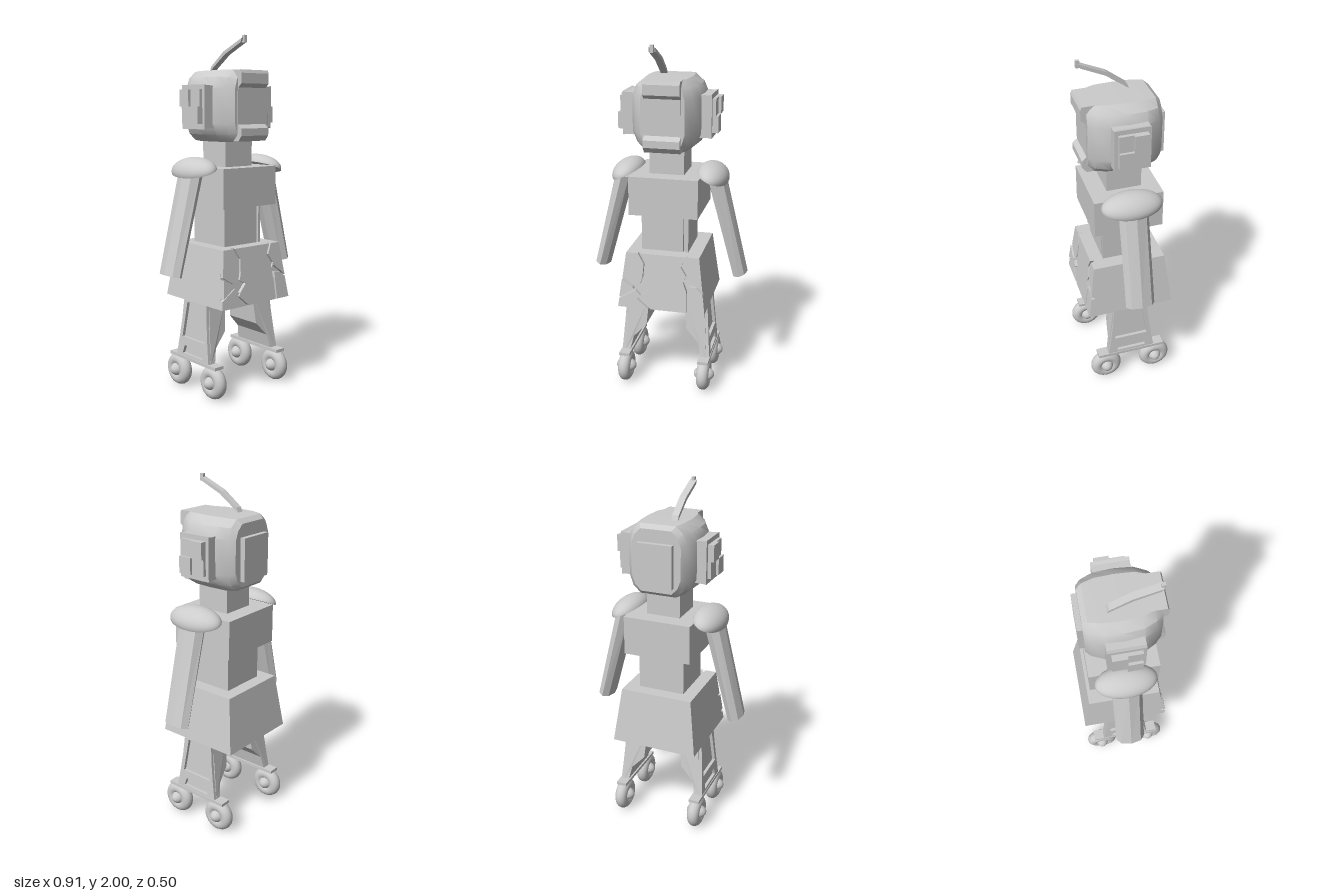
import * as THREE from 'three';
import { toCreasedNormals } from 'three/addons/utils/BufferGeometryUtils.js';

const grey = new THREE.MeshStandardMaterial({ color: 0xcccccc });

function add(parent, name, geometry, x = 0, y = 0, z = 0) {
  const mesh = new THREE.Mesh(geometry, grey);
  mesh.name = name;
  mesh.position.set(x, y, z);
  parent.add(mesh);
  return mesh;
}

// Box given by its limits on each axis
function block(parent, name, [x0, x1], [y0, y1], [z0, z1]) {
  return add(parent, name, new THREE.BoxGeometry(x1 - x0, y1 - y0, z1 - z0),
    (x0 + x1) / 2, (y0 + y1) / 2, (z0 + z1) / 2);
}

const polygon = (points) => new THREE.Shape(points.map(([x, y]) => new THREE.Vector2(x, y)));
const extrude = (shape, depth) => new THREE.ExtrudeGeometry(shape, { depth, bevelEnabled: false });

// Extrude a (z, y) profile along x from x0 to x1
const extrudeX = (shape, x0, x1) => extrude(shape, x1 - x0).rotateY(-Math.PI / 2).translate(x1, 0, 0);

// Move every vertex by a rule
function warp(geometry, rule) {
  const p = geometry.attributes.position;
  const v = new THREE.Vector3();
  for (let i = 0; i < p.count; i++) {
    rule(v.fromBufferAttribute(p, i));
    p.setXYZ(i, v.x, v.y, v.z);
  }
  const flat = geometry.index ? geometry.toNonIndexed() : geometry;
  flat.computeVertexNormals();
  return flat;
}

// Head shell: rounded cross-sections lofted from back to front
function headShell() {
  const sections = [[-0.192, 0.14, 0.17], [-0.165, 0.165, 0.192], [-0.1, 0.193, 0.195], [0, 0.2, 0.195],
    [0.1, 0.19, 0.195], [0.165, 0.155, 0.193], [0.2, 0.12, 0.18]];
  const quarter = [[1, 0.5], [0.87, 0.8], [0.62, 1]];
  const loop = [...quarter, ...quarter.map(([x, y]) => [-x, y]).reverse(),
    ...quarter.map(([x, y]) => [-x, -y]), ...quarter.map(([x, y]) => [x, -y]).reverse()];
  const n = loop.length;
  const pos = [];
  const index = [];
  for (const [z, w, h] of sections) for (const [x, y] of loop) pos.push(x * w, y * h, z);
  for (let s = 0; s < sections.length - 1; s++) {
    for (let i = 0; i < n; i++) {
      const a = s * n + i, b = s * n + (i + 1) % n;
      index.push(a, b, b + n, a, b + n, a + n);
    }
  }
  const last = (sections.length - 1) * n;
  for (let i = 1; i < n - 1; i++) {
    index.push(0, i + 1, i);
    index.push(last, last + i, last + i + 1);
  }
  const g = new THREE.BufferGeometry();
  g.setAttribute('position', new THREE.Float32BufferAttribute(pos, 3));
  g.setIndex(index);
  return toCreasedNormals(g, 0.5);
}

function buildHead() {
  const head = new THREE.Group();
  head.name = 'head';
  add(head, 'headShell', headShell(), 0, 1.625, 0);
  block(head, 'facePanel', [-0.1, 0.1], [1.5, 1.75], [0.15, 0.204]);
  block(head, 'backPanel', [-0.1, 0.1], [1.49, 1.725], [-0.22, -0.17]);
  add(head, 'brow', extrudeX(polygon([[0.1, 1.82], [0.222, 1.818], [0.23, 1.8], [0.23, 1.745], [0.2, 1.72], [0.1, 1.72]]), -0.1, 0.1));
  add(head, 'chin', extrudeX(polygon([[0.1, 1.435], [0.205, 1.435], [0.23, 1.465], [0.23, 1.505], [0.2, 1.53], [0.1, 1.53]]), -0.1, 0.1));

  // Ear blocks with four panes at two heights
  for (const s of [-1, 1]) {
    const side = s > 0 ? 'left' : 'right';
    const span = (a, b) => (s > 0 ? [a, b] : [-b, -a]);
    block(head, side + 'EarBase', span(0.16, 0.228), [1.505, 1.735], [-0.098, 0.098]);
    const flare = new THREE.BoxGeometry(0.018, 0.23, 0.196);
    add(head, side + 'EarRim', warp(flare, (v) => { if (v.x * s > 0) { v.y *= 1.04; } }), s * 0.237, 1.62, 0);
    for (const iy of [0, 1]) {
      for (const iz of [0, 1]) {
        const top = iy !== iz ? 0.28 : 0.265;
        const y0 = 1.53 + iy * 0.092, z0 = -0.078 + iz * 0.078;
        block(head, side + 'EarPane', span(0.22, top), [y0, y0 + 0.092], [z0, z0 + 0.078]);
      }
    }
  }

  // Bent antenna with a small upright tip
  add(head, 'antenna', extrudeX(polygon([[-0.07, 1.815], [0.06, 1.905], [0.19, 1.962], [0.2, 1.985], [0.05, 1.922], [-0.055, 1.845]]), -0.072, -0.034));
  block(head, 'antennaTip', [-0.062, -0.044], [1.96, 2], [0.19, 0.21]);
  return head;
}

function buildTorso() {
  const torso = new THREE.Group();
  torso.name = 'torso';
  block(torso, 'neck', [-0.098, 0.098], [1.27, 1.46], [-0.098, 0.098]);
  block(torso, 'chest', [-0.195, 0.195], [1.07, 1.29], [-0.195, 0.195]);
  block(torso, 'waist', [-0.137, 0.132], [0.84, 1.08], [-0.135, 0.115]);
  block(torso, 'waistFront', [-0.137, 0.103], [0.84, 1.08], [0.11, 0.135]);
  block(torso, 'waistFrontStrip', [0.117, 0.132], [0.84, 1.08], [0.11, 0.135]);
  return torso;
}

function buildSkirt() {
  const skirt = new THREE.Group();
  skirt.name = 'skirt';
  const drop = (y) => (0.85 - y) / 0.32;
  const half = (y) => 0.21 + 0.042 * drop(y);
  add(skirt, 'skirtCore', warp(new THREE.BoxGeometry(2, 0.32, 2).translate(0, 0.69, 0), (v) => {
    const h = half(v.y);
    v.x *= h;
    v.z = v.z > 0 ? h - 0.02 : -h;
  }));

  // Front plates, split by narrow cracks
  const shard = (name, points, lift = 0) => add(skirt, name,
    warp(extrude(polygon(points), 0.02 + lift), (v) => { v.z += half(v.y) - 0.02; }));
  const shift = (points, dx) => points.map(([x, y]) => [x + dx, y]);
  const crackB = [[0.14, 0.85], [0.112, 0.79], [0.145, 0.74], [0.13, 0.7], [0.15, 0.65], [0.155, 0.53]];
  shard('skirtPlateMiddle', [[-0.128, 0.85], [-0.094, 0.79], [-0.1, 0.71], [-0.113, 0.675], [-0.07, 0.652],
    [-0.115, 0.607], [-0.125, 0.588], [-0.06, 0.53], ...shift(crackB, -0.006).reverse()]);
  shard('skirtPlateRightTop', [[-0.21, 0.85], [-0.142, 0.85], [-0.106, 0.79], [-0.112, 0.71], [-0.124, 0.675],
    [-0.158, 0.66], [-0.229, 0.703]]);
  shard('skirtShard', [[-0.231, 0.692], [-0.168, 0.655], [-0.16, 0.643], [-0.244, 0.59]], 0.008);
  shard('skirtPlateRightBottom', [[-0.246, 0.578], [-0.152, 0.635], [-0.122, 0.607], [-0.142, 0.586],
    [-0.075, 0.53], [-0.252, 0.53]]);
  const b = shift(crackB, 0.006);
  shard('skirtPlateLeftTop', [...b.slice(0, 3), [0.138, 0.715], [0.158, 0.725], [0.178, 0.705], [0.2, 0.69], [0.235, 0.66], [0.21, 0.85]]);
  shard('skirtPlateLeftBottom', [[0.157, 0.685], [0.2, 0.678], [0.236, 0.65], [0.252, 0.53], b[5], b[4]]);
  return skirt;
}

function buildArm(s) {
  const arm = new THREE.Group();
  arm.name = s > 0 ? 'leftArm' : 'rightArm';
  // Flattened octagonal arm hanging outward
  const limb = new THREE.CylinderGeometry(0.055, 0.045, 0.57, 8).toNonIndexed();
  const mesh = add(arm, 'armLimb', warp(limb, (v) => { v.z *= 0.083 / (0.05 + v.y * 0.0175); }), s * 0.34, 0.98, 0);
  mesh.rotation.z = s * 0.255;
  // Domed shoulder pad
  const pad = new THREE.Group();
  pad.name = 'shoulderPad';
  add(pad, 'padDome', new THREE.SphereGeometry(1, 32, 12, 0, Math.PI * 2, 0, Math.PI / 2)).scale.set(0.092, 0.072, 0.17);
  add(pad, 'padUnderside', new THREE.CircleGeometry(1, 32).rotateX(Math.PI / 2)).scale.set(0.092, 1, 0.17);
  pad.position.set(s * 0.243, 1.272, 0);
  pad.rotation.z = -s * 0.4;
  arm.add(pad);
  return arm;
}

function buildLeg(s) {
  const leg = new THREE.Group();
  leg.name = s > 0 ? 'leftLeg' : 'rightLeg';
  const taper = (y) => 0.1 + 0.045 * Math.pow(Math.max(0, (0.54 - y) / 0.35), 1.4);
  const body = polygon([[0.104, 0.54], [0.121, 0.36], [0.197, 0.28], [0.217, 0.19], [0.247, 0.19], [0.222, 0.54]]);
  add(leg, 'legBody', warp(extrude(body, 2).translate(0, 0, -1), (v) => { v.z *= taper(v.y); }));

  // Outer plate with two recessed windows
  const ys = [0.54, 0.42, 0.3, 0.19];
  const plate = polygon([...ys.map((y) => [-taper(y), y]), ...ys.map((y) => [taper(y), y]).reverse()]);
  plate.holes.push(polygon([[-0.07, 0.515], [-0.1, 0.31], [0.1, 0.31], [0.07, 0.515]]),
    polygon([[-0.075, 0.262], [-0.09, 0.215], [0.09, 0.215], [0.075, 0.262]]));
  add(leg, 'legOuterPlate', warp(extrudeX(plate, 0.222, 0.24), (v) => { v.x += (0.54 - v.y) * 0.0714; }));

  // Axle bar and wheels
  block(leg, 'axleBar', [0.205, 0.268], [0.182, 0.2], [-0.205, 0.205]);
  for (const z of [-0.155, 0.155]) {
    const wheel = new THREE.Group();
    wheel.name = 'wheel';
    add(wheel, 'tyre', new THREE.TorusGeometry(0.058, 0.036, 16, 36).rotateY(Math.PI / 2));
    add(wheel, 'hub', new THREE.SphereGeometry(0.042, 24, 16)).scale.x = 1.45;
    wheel.position.set(0.237, 0.098, z);
    leg.add(wheel);
  }
  if (s < 0) leg.rotation.y = Math.PI;
  return leg;
}

export function createModel() {
  const model = new THREE.Group();
  model.name = 'robot';
  model.add(buildHead(), buildTorso(), buildSkirt());
  for (const s of [-1, 1]) model.add(buildArm(s), buildLeg(s));
  return model;
}
